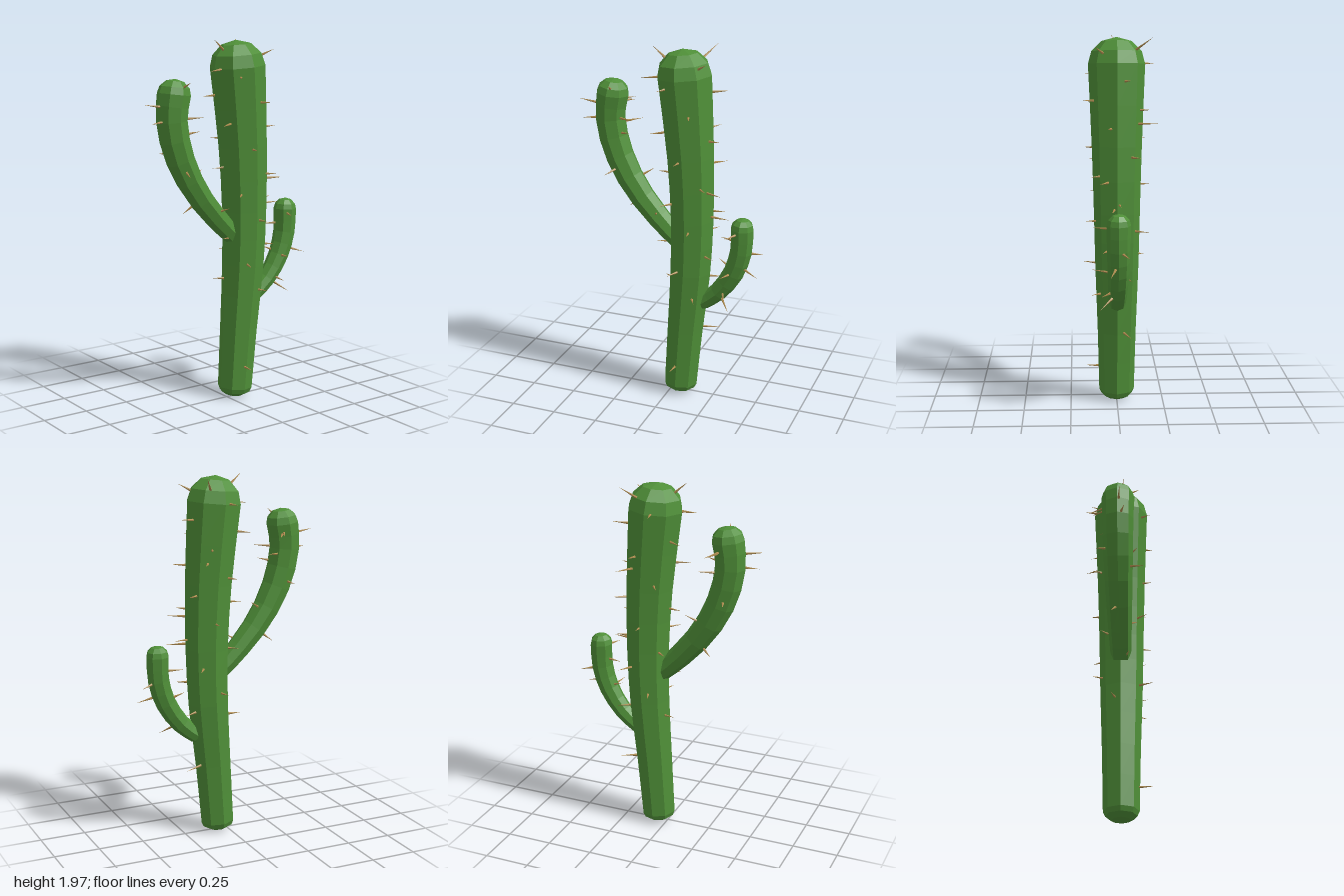
import * as THREE from 'three';

const SIDES = 8;
const rad = THREE.MathUtils.degToRad;

// A limb follows a spline in the xy plane; each station is [x, y, radius].
function makeLimb(stations, steps, baseCap, tipCap) {
  const curve = new THREE.CatmullRomCurve3(stations.map((s) => new THREE.Vector3(...s)));
  const frame = (u) => {
    const p = curve.getPoint(u);
    const d = curve.getTangent(u);
    const T = new THREE.Vector3(d.x, d.y, 0).normalize();
    return { c: new THREE.Vector3(p.x, p.y, 0), r: p.z, T, N: new THREE.Vector3(T.y, -T.x, 0) };
  };
  return { frame, steps, baseCap, tipCap, yEnd: stations.at(-1)[1] };
}

function radial(f, angle) {
  return f.N.clone().multiplyScalar(Math.cos(angle)).add(new THREE.Vector3(0, 0, Math.sin(angle)));
}

// Octagonal skin with rounded caps at both ends
function limbGeometry(limb) {
  const rings = [];
  const cap = (f, height, a) => rings.push({
    ...f, r: f.r * Math.cos(a), c: f.c.clone().addScaledVector(f.T, height * Math.sin(a)),
  });
  for (const a of [90, 58, 28]) cap(limb.frame(0), -limb.baseCap, rad(a));
  for (let i = 0; i <= limb.steps; i++) rings.push(limb.frame(i / limb.steps));
  for (const a of [28, 58, 90]) cap(limb.frame(1), limb.tipCap, rad(a));

  const pos = [];
  const index = [];
  rings.forEach((f, i) => {
    for (let j = 0; j < SIDES; j++) {
      const p = radial(f, (j / SIDES) * Math.PI * 2).multiplyScalar(f.r).add(f.c);
      pos.push(p.x, p.y, p.z);
      if (i === rings.length - 1) continue;
      const a = i * SIDES + j;
      const b = i * SIDES + ((j + 1) % SIDES);
      index.push(a, a + SIDES, b, b, a + SIDES, b + SIDES);
    }
  });
  const g = new THREE.BufferGeometry();
  g.setAttribute('position', new THREE.Float32BufferAttribute(pos, 3));
  g.setIndex(index);
  g.computeVertexNormals();
  return g;
}

// Spine rooted at height y; heights above the last station land on the dome
function addSpine(group, limb, y, degrees, length, material) {
  let lo = 0;
  let hi = 1;
  for (let i = 0; i < 20; i++) {
    const mid = (lo + hi) / 2;
    if (limb.frame(mid).c.y < y) lo = mid;
    else hi = mid;
  }
  const f = limb.frame(lo);
  const lift = Math.asin(THREE.MathUtils.clamp((y - limb.yEnd) / limb.tipCap, 0, 1));
  const dir = radial(f, rad(degrees)).multiplyScalar(Math.cos(lift))
    .addScaledVector(f.T, Math.sin(lift));
  const geometry = new THREE.ConeGeometry(0.008, length + 0.02, 5);
  geometry.translate(0, length / 2, 0);
  const spine = new THREE.Mesh(geometry, material);
  spine.name = 'spine';
  spine.position.copy(f.c).addScaledVector(dir, f.r * 0.93);
  spine.quaternion.setFromUnitVectors(new THREE.Vector3(0, 1, 0), dir);
  group.add(spine);
}

export function createModel() {
  const model = new THREE.Group();
  model.name = 'cactus';
  const skin = new THREE.MeshStandardMaterial({ color: 0x4f8f38, flatShading: true });
  const thorn = new THREE.MeshStandardMaterial({ color: 0xb08d50, flatShading: true });

  // One limb: large spines as [height, angle from +x towards +z, length],
  // then small ones winding up between two heights by the golden angle
  function addLimb(name, limb, largeSpines, count, from, to) {
    const group = new THREE.Group();
    group.name = name;
    const body = new THREE.Mesh(limbGeometry(limb), skin);
    body.name = `${name}Body`;
    group.add(body);
    for (const [y, degrees, length] of largeSpines) {
      addSpine(group, limb, y, degrees, length, thorn);
    }
    for (let i = 0; i < count; i++) {
      const y = from + ((to - from) * i) / (count - 1);
      addSpine(group, limb, y, 60 + i * 137.5, 0.045 + 0.01 * (i % 4), thorn);
    }
    model.add(group);
  }

  addLimb('trunk', makeLimb([
    [0.055, 0.06, 0.095], [0.08, 0.4, 0.103], [0.108, 0.75, 0.115],
    [0.116, 1.05, 0.122], [0.105, 1.4, 0.132], [0.07, 1.83, 0.15],
  ], 10, 0.055, 0.14), [
    [0.19, 95, 0.07], [0.41, -22, 0.1], [1.08, 8, 0.1], [1.22, 25, 0.09],
    [1.52, -62, 0.1], [1.83, 165, 0.08], [1.9, -55, 0.11],
  ], 28, 0.62, 1.93);

  addLimb('rightArm', makeLimb([
    [0.04, 0.92, 0.055], [-0.06, 1.015, 0.062], [-0.215, 1.2, 0.072],
    [-0.315, 1.4, 0.08], [-0.35, 1.58, 0.084], [-0.335, 1.7, 0.09],
  ], 9, 0.03, 0.08), [
    [1.53, -35, 0.09], [1.57, 25, 0.09], [1.63, 175, 0.09], [1.66, -65, 0.08],
  ], 9, 1.05, 1.74);

  addLimb('leftArm', makeLimb([
    [0.18, 0.57, 0.045], [0.27, 0.645, 0.05], [0.355, 0.77, 0.056],
    [0.395, 0.9, 0.06], [0.4, 1.03, 0.063],
  ], 8, 0.025, 0.06), [
    [0.65, 40, 0.09], [0.77, 105, 0.08], [0.82, 18, 0.08], [0.95, 195, 0.07],
  ], 4, 0.67, 1.01);

  return model;
}
